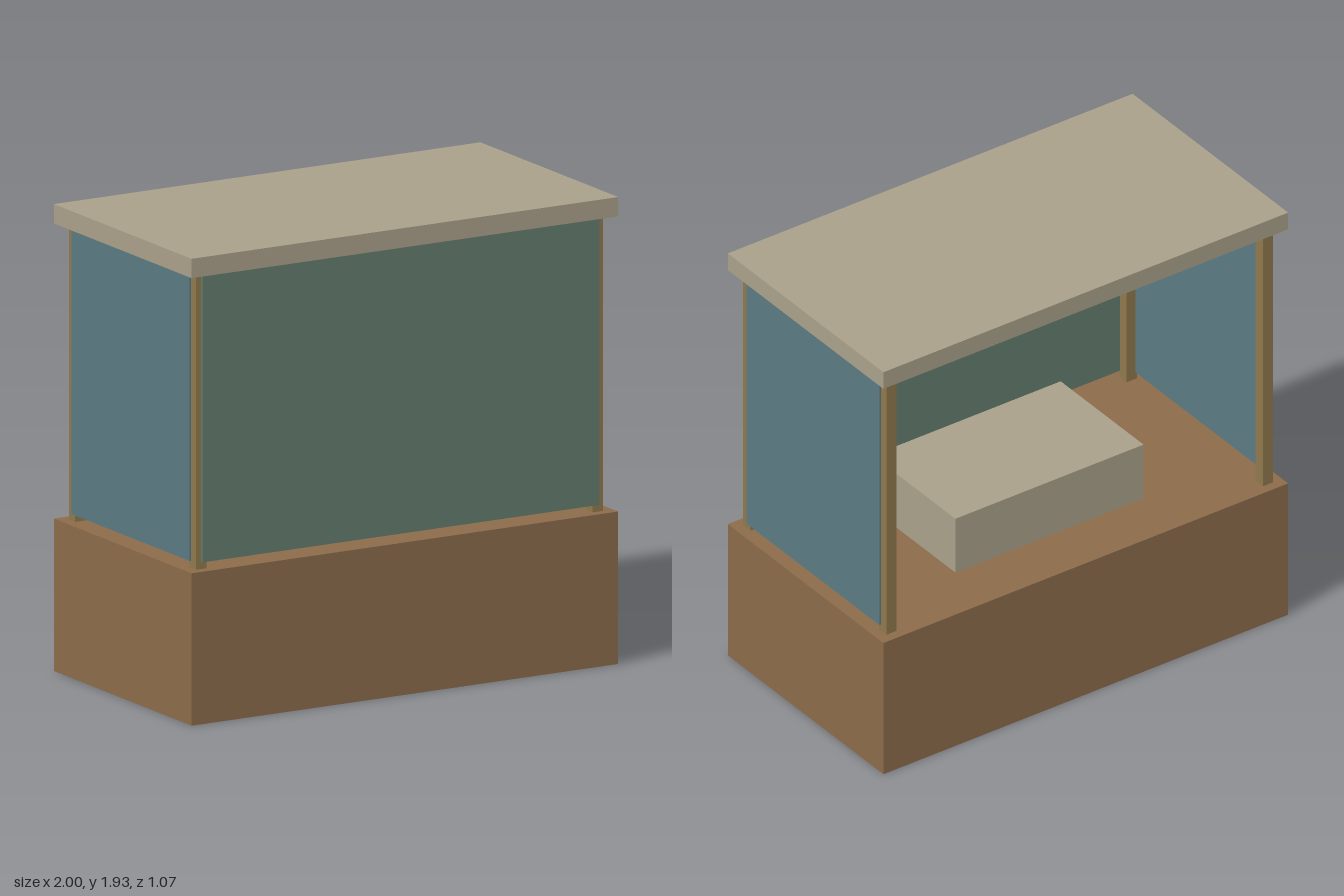
import * as THREE from 'three';

export function createModel() {
  const model = new THREE.Group();
  const paint = (color) => new THREE.MeshStandardMaterial({ color });
  const wood = paint(0x8b6b4a);
  const stone = paint(0xa9a08a);
  const postWood = paint(0x8f784c);
  const green = paint(0x647c6e);
  const blue = paint(0x5a7a82);

  // Box given by its centre in x and z, its bottom and top heights, and its size
  function addBox(name, material, x, z, bottom, top, width, depth) {
    const mesh = new THREE.Mesh(new THREE.BoxGeometry(width, top - bottom, depth), material);
    mesh.name = name;
    mesh.position.set(x, (bottom + top) / 2, z);
    model.add(mesh);
  }

  const baseTop = 0.63, roofBottom = 1.85, panelBottom = 0.66;

  addBox('base', wood, 0, 0, 0, baseTop, 2, 1.07);
  addBox('roof', stone, 0, 0, roofBottom, 1.93, 2, 1.07);
  addBox('innerBlock', stone, 0, 0, baseTop, 0.888, 0.93, 0.57);

  // Front panel; the back stays open
  addBox('frontPanel', green, 0, 0.498, panelBottom, roofBottom, 1.86, 0.014);

  for (const side of [1, -1]) {
    const name = side > 0 ? 'left' : 'right';
    addBox(name + 'Panel', blue, side * 0.956, 0, panelBottom, roofBottom, 0.014, 0.914);
    // Corner posts
    addBox(name + 'FrontPost', postWood, side * 0.93, 0.468, baseTop, roofBottom, 0.05, 0.05);
    addBox(name + 'BackPost', postWood, side * 0.93, -0.468, baseTop, roofBottom, 0.05, 0.05);
  }

  return model;
}
